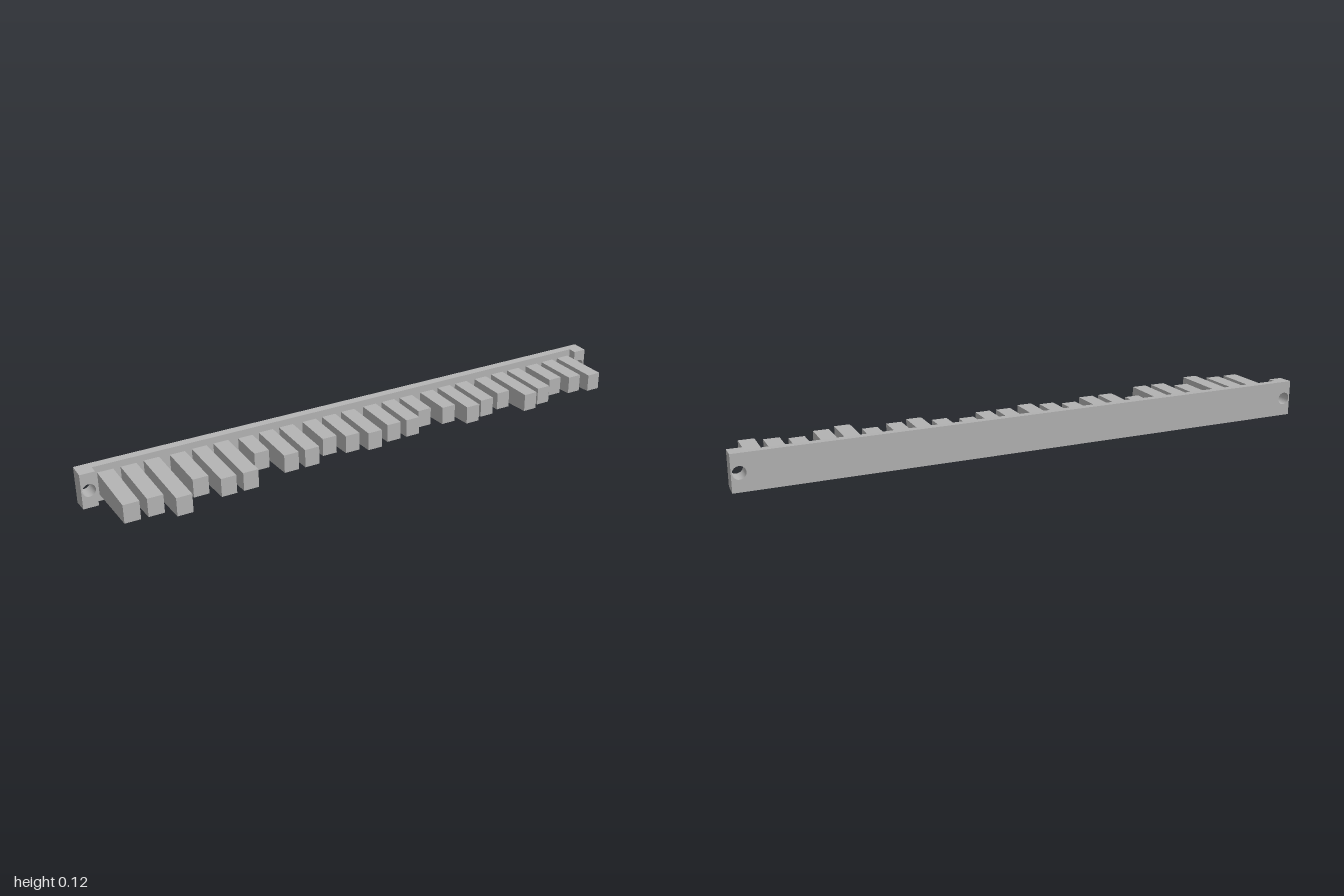
import * as THREE from 'three';

const MID_Y = 0.064;    // centre height of the bar
const BACK_Z = -0.148;
const PLATE_Z = -0.119; // front of the thin centre plate
const EAR_Z = -0.09;    // front of the thicker end blocks
const EAR_W = 0.05;

// Sets outer top and bottom vertices to a half-height that shrinks toward the front.
function draft(geometry, halfAt) {
  const p = geometry.attributes.position;
  for (let i = 0; i < p.count; i++) {
    const y = p.getY(i);
    if (Math.abs(y) > 0.026) p.setY(i, Math.sign(y) * halfAt(p.getZ(i)));
  }
  geometry.computeVertexNormals();
  return geometry;
}

const plateHalf = (z) => 0.0625 - (z - BACK_Z) * 0.052;

function block(width, back, front) {
  const g = new THREE.BoxGeometry(width, 0.12, front - back);
  g.translate(0, 0, (front + back) / 2);
  return g;
}

// End block with a round screw hole
function earGeometry() {
  const w = EAR_W / 2, h = 0.06;
  const s = new THREE.Shape();
  s.moveTo(-w, -h).lineTo(w, -h).lineTo(w, h).lineTo(-w, h).closePath();
  const hole = new THREE.Path();
  hole.absarc(0, 0, 0.0215, 0, Math.PI * 2, true);
  s.holes.push(hole);
  const g = new THREE.ExtrudeGeometry(s, { depth: EAR_Z - BACK_Z, bevelEnabled: false, curveSegments: 24 });
  g.translate(0, 0, BACK_Z);
  return draft(g, plateHalf);
}

export function createModel() {
  const group = new THREE.Group();
  group.name = 'keyBar';
  const grey = new THREE.MeshStandardMaterial({ color: 0xb3b3b3, flatShading: true });
  grey.name = 'plain grey';

  const add = (name, geometry, x) => {
    const mesh = new THREE.Mesh(geometry, grey);
    mesh.name = name;
    mesh.position.set(x, MID_Y, 0);
    group.add(mesh);
  };

  // Back plate and the two mounting ends
  add('backPlate', draft(block(2 - 2 * EAR_W, BACK_Z, PLATE_Z), plateHalf), 0);
  const ear = earGeometry();
  add('leftMountingEnd', ear, 1 - EAR_W / 2);
  add('rightMountingEnd', ear, -1 + EAR_W / 2);

  // Teeth in groups of three; each number is a length step
  const steps = [
    [5, 5, 7], [3, 5, 5], [0, 3, 3], [1, 2, 3],
    [2, 2, 0], [1, 3, 2], [1, 4, 3], [1, 2, 3],
  ];
  steps.forEach((trio, g) => trio.forEach((step, k) => {
    const front = 0.003 + step * 0.0207;
    const x = (g - 3.5) * 0.239 + (k - 1) * 0.0755 + 0.002;
    const half = (z) => 0.0312 + (front - z) * 0.033;
    add(`tooth${g * 3 + k + 1}`, draft(block(0.052, PLATE_Z - 0.001, front), half), x);
  }));

  return group;
}
